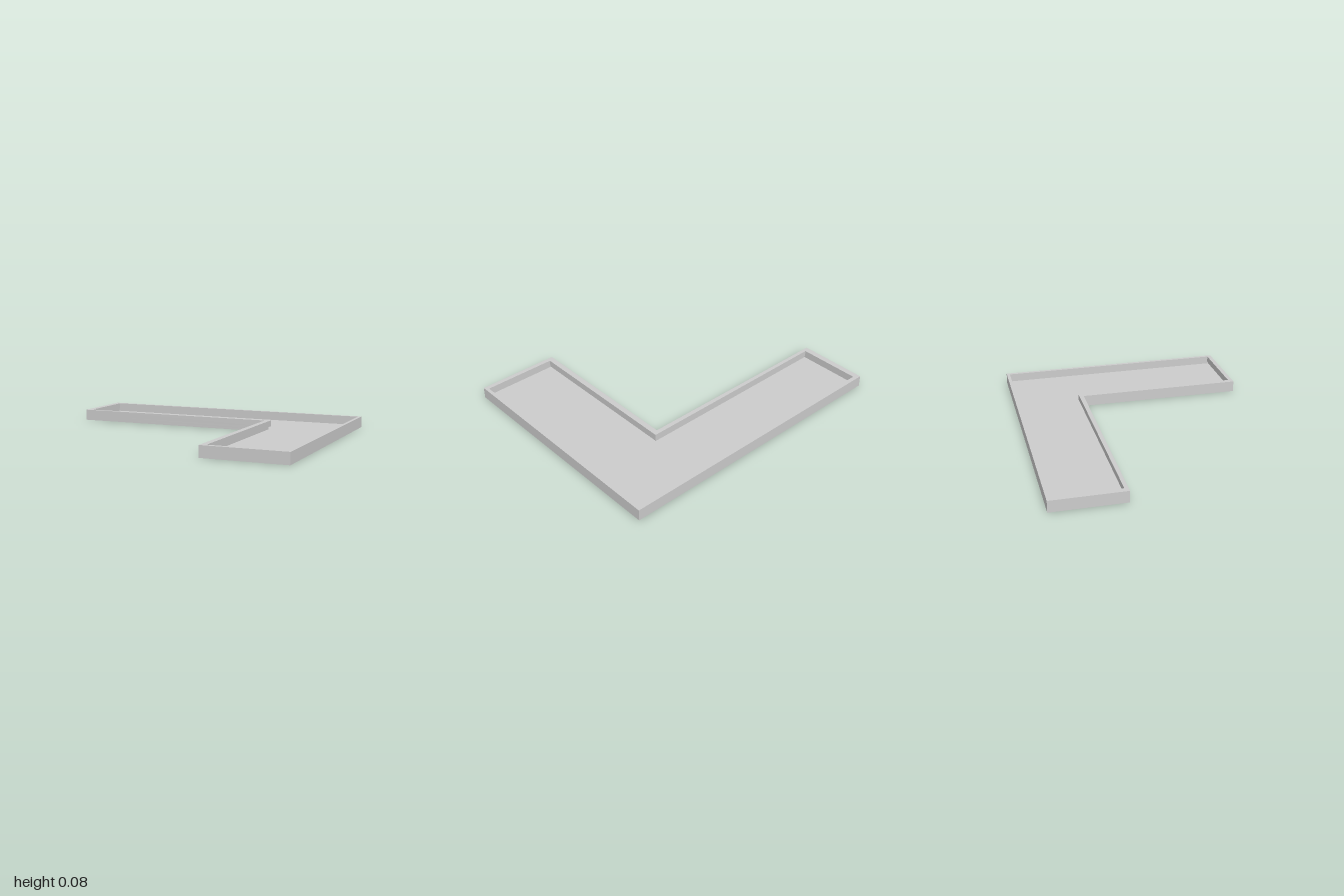
import * as THREE from 'three';

const HEIGHT = 0.077, FLOOR = 0.015, LIP = 0.035, RECESS = 0.012;

// L-shaped plan as [x, z] corners
const outer = [[-1, -0.322], [0.435, -0.322], [0.435, 0.81], [1, 0.81], [1, -0.81], [-1, -0.81]];

// Tray opening, widened by r on every side
const opening = (r) => [[-0.96 - r, -0.347 + r], [0.473 - r, -0.353 + r], [0.473 - r, 0.78 + r],
  [0.977 + r, 0.78 + r], [0.977 + r, -0.788 - r], [-0.96 - r, -0.781 - r]];

const toPoints = (corners) => corners.map(([x, z]) => new THREE.Vector2(x, -z));

// Horizontal slab between two heights, with an optional opening
function slab(name, material, bottom, top, hole) {
  const shape = new THREE.Shape(toPoints(outer));
  if (hole) shape.holes.push(new THREE.Path(toPoints(hole)));
  const geometry = new THREE.ExtrudeGeometry(shape, { depth: top - bottom, bevelEnabled: false });
  geometry.rotateX(-Math.PI / 2);
  const mesh = new THREE.Mesh(geometry, material);
  mesh.name = name;
  mesh.position.y = bottom;
  return mesh;
}

export function createModel() {
  const group = new THREE.Group();
  group.name = 'cornerTray';
  const material = new THREE.MeshStandardMaterial({ color: 0xcccccc });
  // Thin floor, recessed lower wall, and the overhanging lip above it
  group.add(slab('trayFloor', material, 0, FLOOR));
  group.add(slab('lowerWall', material, FLOOR, LIP, opening(RECESS)));
  group.add(slab('rimLip', material, LIP, HEIGHT, opening(0)));
  return group;
}
